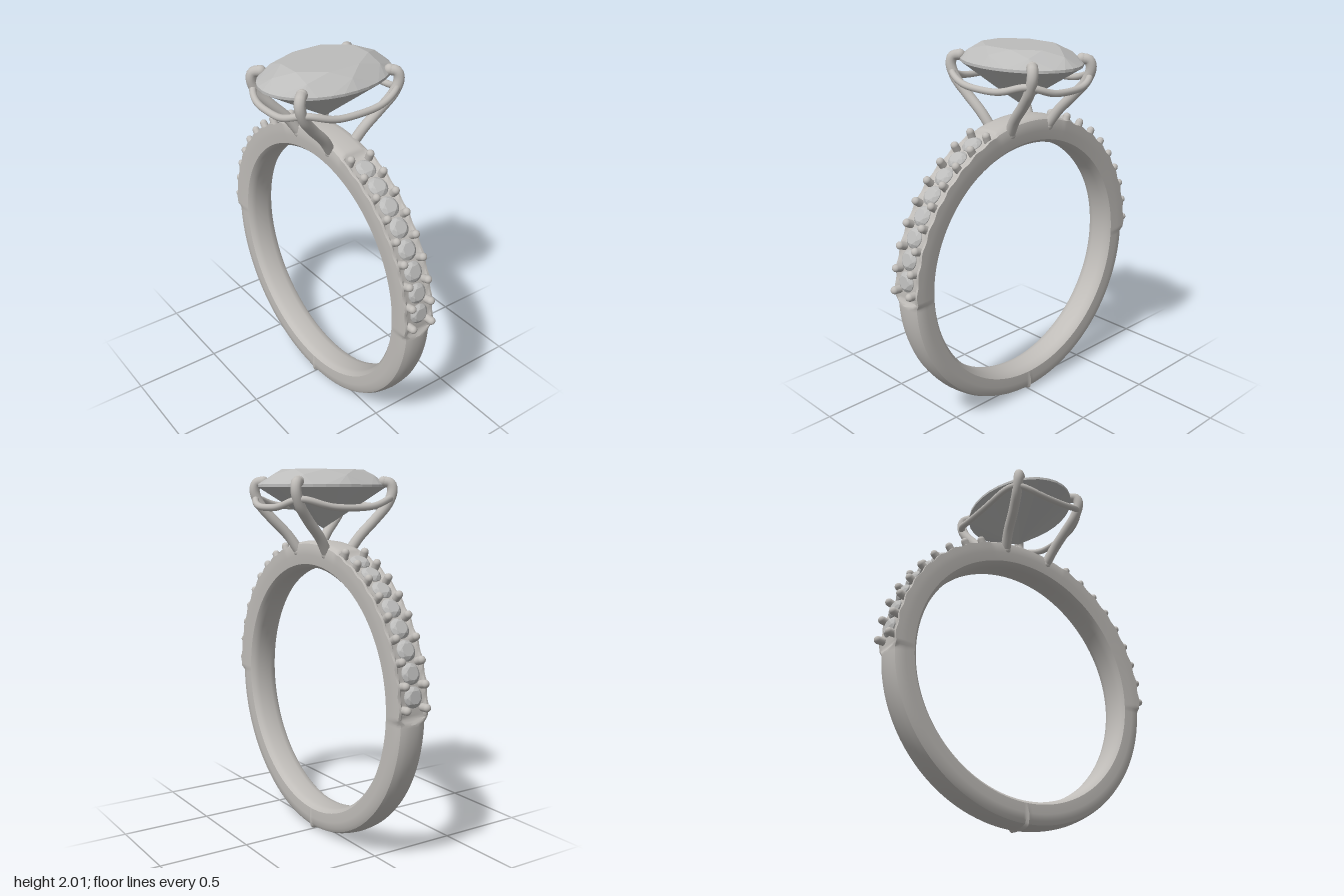
import * as THREE from 'three';
import { toCreasedNormals } from 'three/addons/utils/BufferGeometryUtils.js';

const CENTER_Y = 0.81;
const rad = THREE.MathUtils.degToRad;
const step = THREE.MathUtils.smoothstep;
const BEAD_START = 3.5, BEAD_STEP = 8.15, BEADS = 9;

// Half cross-sections of the band as [radius, half width], inside to outside
const INNER = [[0.667, 0], [0.668, 0.04], [0.674, 0.066], [0.69, 0.084]];
const ROUND = [[0.74, 0.086], [0.775, 0.083], [0.794, 0.072], [0.804, 0.05], [0.808, 0.025], [0.81, 0]];
const PAVE = [[0.74, 0.09], [0.77, 0.091], [0.804, 0.09], [0.806, 0.078], [0.793, 0.064], [0.791, 0]];
const BRIDGE = [[0.74, 0.09], [0.775, 0.09], [0.8, 0.084], [0.811, 0.07], [0.815, 0.045], [0.816, 0]];

function sectionAt(deg) {
  const up = deg > 90 && deg < 270 ? 180 - deg : deg > 270 ? deg - 360 : deg; // angle above the equator
  const pave = step(up, -2, 0), bridge = step(up, 70.5, 73);
  const scallop = 0.008 * (1 - Math.cos((up - BEAD_START) / BEAD_STEP * Math.PI * 2)) / 2;
  const outer = ROUND.map((p, i) => p.map((v, k) => {
    let q = PAVE[i][k];
    if (k === 0 && (i === 2 || i === 3)) q -= scallop;
    return THREE.MathUtils.lerp(THREE.MathUtils.lerp(v, q, pave), BRIDGE[i][k], bridge);
  }));
  const half = [...INNER, ...outer];
  return [...half.map(([r, z]) => [r, -z]), ...half.slice(1, -1).reverse()];
}

// Lofted band whose section changes around the finger
function bandGeometry() {
  const N = 360, pos = [], idx = [];
  let m = 0;
  for (let i = 0; i < N; i++) {
    const loop = sectionAt(i), a = rad(i);
    m = loop.length;
    loop.forEach(([r, z]) => pos.push(r * Math.cos(a), CENTER_Y + r * Math.sin(a), z));
  }
  for (let i = 0; i < N; i++) for (let j = 0; j < m; j++) {
    const i2 = (i + 1) % N, j2 = (j + 1) % m;
    const a = i * m + j, b = i2 * m + j, c = i2 * m + j2, d = i * m + j2;
    idx.push(a, b, d, b, c, d);
  }
  const g = new THREE.BufferGeometry();
  g.setAttribute('position', new THREE.Float32BufferAttribute(pos, 3));
  g.setIndex(idx);
  return toCreasedNormals(g, 0.6);
}

// Brilliant cut: octagonal table, star, kite and half facets, pointed pavilion
function brilliant(rx, rz, crown, pavilion, girdle) {
  const pos = [];
  const at = (deg, r, y) => new THREE.Vector3(rx * r * Math.cos(rad(deg)), y, rz * r * Math.sin(rad(deg)));
  const n = new THREE.Vector3(), e = new THREE.Vector3();
  const tri = (a, b, c) => {
    n.subVectors(b, a).cross(e.subVectors(c, a));
    const out = n.dot(e.copy(a).add(b).add(c)) > 0;
    (out ? [a, b, c] : [a, c, b]).forEach(v => pos.push(v.x, v.y, v.z));
  };
  const top = new THREE.Vector3(0, crown, 0), culet = new THREE.Vector3(0, -pavilion, 0);
  const midY = girdle + 0.62 * (crown - girdle);
  for (let k = 0; k < 8; k++) {
    const d = 45 * k;
    const t0 = at(d - 22.5, 0.64, crown), t1 = at(d + 22.5, 0.64, crown);
    const m0 = at(d, 0.84, midY), m1 = at(d + 45, 0.84, midY);
    const p0 = at(d, 0.4, -0.63 * pavilion), p1 = at(d + 45, 0.4, -0.63 * pavilion);
    const gu = at(d + 22.5, 1, girdle), gl = at(d + 22.5, 1, -girdle);
    tri(top, t0, t1);
    tri(t0, t1, m0);
    tri(t1, m0, gu); tri(t1, gu, m1);
    tri(culet, p0, gl); tri(culet, gl, p1);
    for (let s = 0; s < 4; s++) {
      const a = d - 22.5 + s * 11.25, b = a + 11.25;
      const ua = at(a, 1, girdle), ub = at(b, 1, girdle), la = at(a, 1, -girdle), lb = at(b, 1, -girdle);
      tri(m0, ua, ub);
      tri(ua, ub, la); tri(ub, la, lb);
      tri(p0, la, lb);
    }
  }
  const g = new THREE.BufferGeometry();
  g.setAttribute('position', new THREE.Float32BufferAttribute(pos, 3));
  g.computeVertexNormals();
  return g;
}

export function createModel() {
  const metal = new THREE.MeshStandardMaterial({ color: 0xc0bdb9 });
  metal.name = 'polished metal';
  const gem = new THREE.MeshStandardMaterial({ color: 0xbcbcbb });
  gem.name = 'clear gem';
  const model = new THREE.Group();
  model.name = 'ring';
  const add = (name, geo, mat, parent = model) => {
    const mesh = new THREE.Mesh(geo, mat);
    mesh.name = name;
    parent.add(mesh);
    return mesh;
  };

  add('band', bandGeometry(), metal);

  // Shoulder gems and their paired beads
  const smallGem = brilliant(0.053, 0.053, 0.019, 0.035, 0.002);
  const bead = new THREE.CapsuleGeometry(0.021, 0.03, 6, 14);
  bead.translate(0, -0.015, 0);
  const place = (mesh, deg, r, z) => {
    const a = rad(deg);
    mesh.position.set(r * Math.cos(a), CENTER_Y + r * Math.sin(a), z);
    mesh.rotation.z = a - Math.PI / 2;
  };
  for (const side of [1, -1]) {
    const shoulder = new THREE.Group();
    shoulder.name = side > 0 ? 'leftShoulder' : 'rightShoulder';
    model.add(shoulder);
    const turn = d => (side > 0 ? d : 180 - d);
    for (let i = 0; i < BEADS; i++) {
      const d = BEAD_START + i * BEAD_STEP;
      for (const z of [0.06, -0.06]) place(add('bead', bead, metal, shoulder), turn(d), 0.826, z);
      if (i < BEADS - 1) place(add('shoulderGem', smallGem, gem, shoulder), turn(d + BEAD_STEP / 2), 0.8, 0);
    }
  }

  // Oval centre stone
  add('centreStone', brilliant(0.265, 0.37, 0.085, 0.225, 0.007), gem).position.y = 1.915;

  // Four claws, each a curved wire with a rounded tip
  const head = new THREE.Group();
  head.name = 'setting';
  model.add(head);
  for (const sx of [1, -1]) for (const sz of [1, -1]) {
    const pts = [[0.14, 1.56, 0.065], [0.162, 1.65, 0.125], [0.185, 1.74, 0.21], [0.207, 1.82, 0.275],
      [0.214, 1.89, 0.3], [0.205, 1.928, 0.292], [0.18, 1.936, 0.265]]
      .map(([x, y, z]) => new THREE.Vector3(x * sx, y, z * sz));
    add('claw', new THREE.TubeGeometry(new THREE.CatmullRomCurve3(pts), 40, 0.028, 14), metal, head);
    const foot = add('clawFoot', new THREE.SphereGeometry(0.032, 16, 12), metal, head);
    foot.position.copy(pts[0]);
    const tip = add('clawTip', new THREE.SphereGeometry(0.029, 16, 12), metal, head);
    tip.position.copy(pts[6]);
  }

  // Wavy gallery wire beneath the stone, rising at each claw
  const wire = [];
  const soft = v => Math.sign(v) * Math.abs(v) ** 0.6;
  for (let i = 0; i < 48; i++) {
    const t = (i + 0.5) / 48 * Math.PI * 2;
    wire.push(new THREE.Vector3(0.278 * soft(Math.cos(t)), 1.826 - 0.022 * Math.cos(4 * t), 0.34 * soft(Math.sin(t))));
  }
  add('galleryWire', new THREE.TubeGeometry(new THREE.CatmullRomCurve3(wire, true), 160, 0.018, 12, true), metal, head);

  return model;
}
